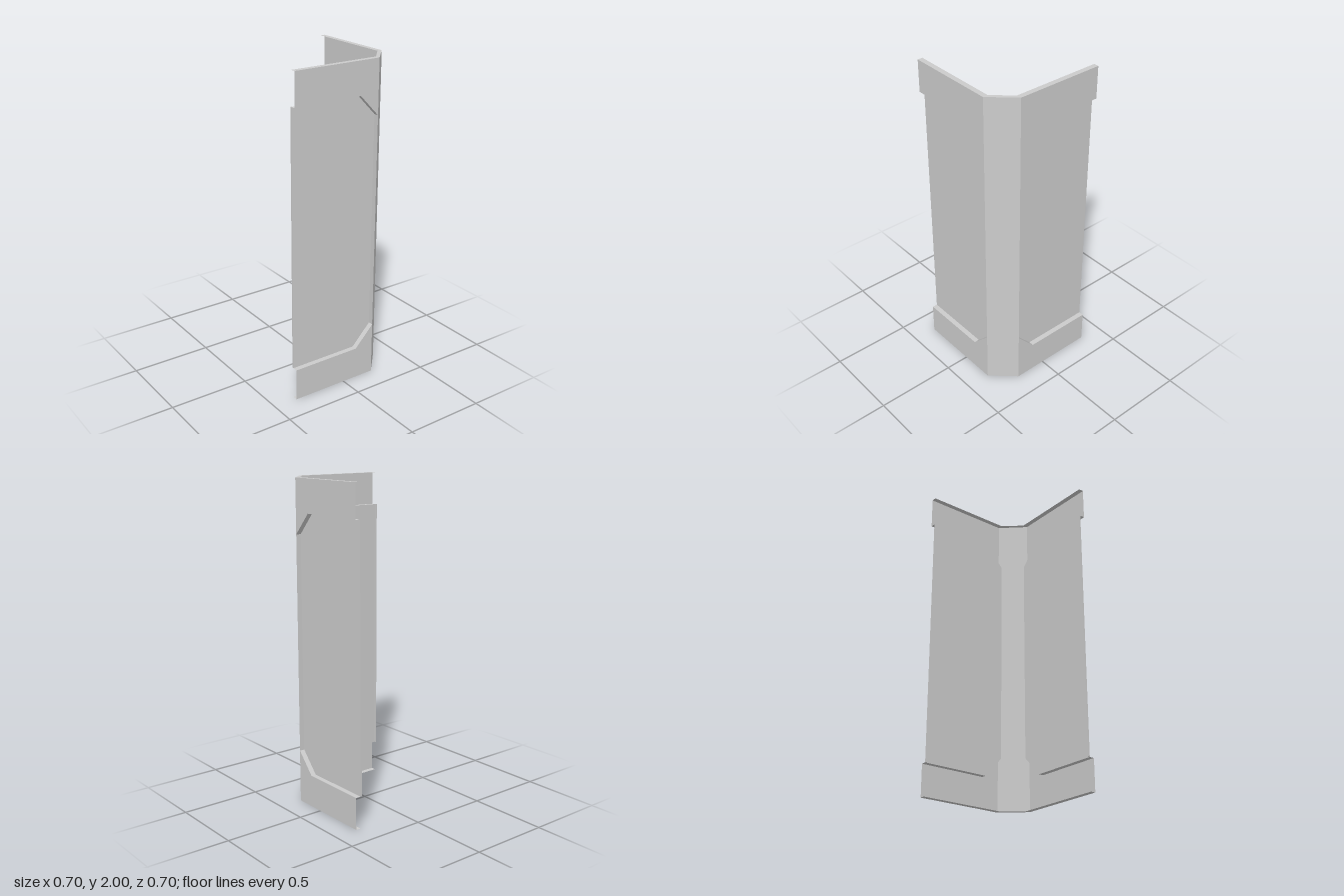
import * as THREE from 'three';

const H = 2, HALF = 0.35, DEPTH = 0.032;
const BEND_X = 0.206, BEND_Z = -0.218; // ends of the diagonal corner post
const LOW = 0.2, LOW_CORNER = 0.33; // recess heights at the free end and at the post
const LIP_W = 0.008, LIP_D = 0.01;

const material = new THREE.MeshStandardMaterial({ color: 0xcccccc, side: THREE.DoubleSide, flatShading: true });

function add(parent, name, geometry) {
  const mesh = new THREE.Mesh(geometry, material);
  mesh.name = name;
  parent.add(mesh);
  return mesh;
}

const flat = (points) => new THREE.ShapeGeometry(new THREE.Shape(points.map(([x, y]) => new THREE.Vector2(x, y))));

// Ribbon of quads between an outline at z = 0 and its copy at z = -depth
function ribbon(points, depth) {
  const pos = [];
  for (let i = 0; i < points.length - 1; i++) {
    const [ax, ay] = points[i], [bx, by] = points[i + 1];
    pos.push(ax, ay, 0, ax, ay, -depth, bx, by, -depth, ax, ay, 0, bx, by, -depth, bx, by, 0);
  }
  const g = new THREE.BufferGeometry();
  g.setAttribute('position', new THREE.Float32BufferAttribute(pos, 3));
  g.computeVertexNormals();
  return g;
}

// One wall, from its free end (u = 0) to the post (u = length); local +z faces outward
function makeWall(name, length, chamfer, dir) {
  const wall = new THREE.Group();
  wall.name = name;
  const side = (points) => points.map(([u, y]) => [u * dir, y]);
  const lower = [[0, LOW], [length - chamfer, LOW], [length, LOW_CORNER]];
  const upper = lower.map(([u, y]) => [u, H - y]).reverse();
  const outline = [...lower, ...upper];

  // Bands above and below the recess
  add(wall, 'lowerBand', flat(side([[0, 0], [length, 0], ...[...lower].reverse()])));
  add(wall, 'upperBand', flat(side([[0, H], [length, H], ...upper])));

  // Sunken panel and the reveal around it, open at the free end
  add(wall, 'recessedPanel', flat(side(outline))).position.z = -DEPTH;
  add(wall, 'recessReveal', ribbon(side(outline), DEPTH));

  // Thin lip behind the free edge of the panel
  const lip = add(wall, 'edgeLip', new THREE.BoxGeometry(LIP_W, H - 2 * LOW, LIP_D));
  lip.position.set(dir * LIP_W / 2, H / 2, -DEPTH - LIP_D / 2);
  return wall;
}

export function createModel() {
  const model = new THREE.Group();
  model.name = 'cornerWall';

  const backWall = makeWall('backWall', BEND_X + HALF, 0.118, -1);
  backWall.rotation.y = Math.PI;
  backWall.position.set(-HALF, 0, -HALF);

  const sideWall = makeWall('sideWall', HALF - BEND_Z, 0.125, 1);
  sideWall.rotation.y = Math.PI / 2;
  sideWall.position.set(HALF, 0, HALF);
  model.add(backWall, sideWall);

  // Diagonal post joining the two walls
  const dx = HALF - BEND_X, dz = BEND_Z + HALF;
  const post = add(model, 'cornerPost', new THREE.PlaneGeometry(Math.hypot(dx, dz), H));
  post.position.set((BEND_X + HALF) / 2, H / 2, (BEND_Z - HALF) / 2);
  post.rotation.y = Math.atan2(dz, -dx);

  // Flanges folded inward along the top and the bottom, as [x, -z]
  const inner = HALF - DEPTH;
  const plan = [
    [-HALF, HALF], [BEND_X, HALF], [HALF, -BEND_Z], [HALF, -HALF],
    [inner, -HALF], [inner, -BEND_Z], [BEND_X, inner], [-HALF, inner],
  ];
  add(model, 'topFlange', flat(plan).rotateX(-Math.PI / 2)).position.y = H;
  // Turned over so that it faces down
  const bottom = flat(plan.map(([x, y]) => [x, -y])).rotateX(Math.PI / 2);
  add(model, 'bottomFlange', bottom);

  return model;
}
